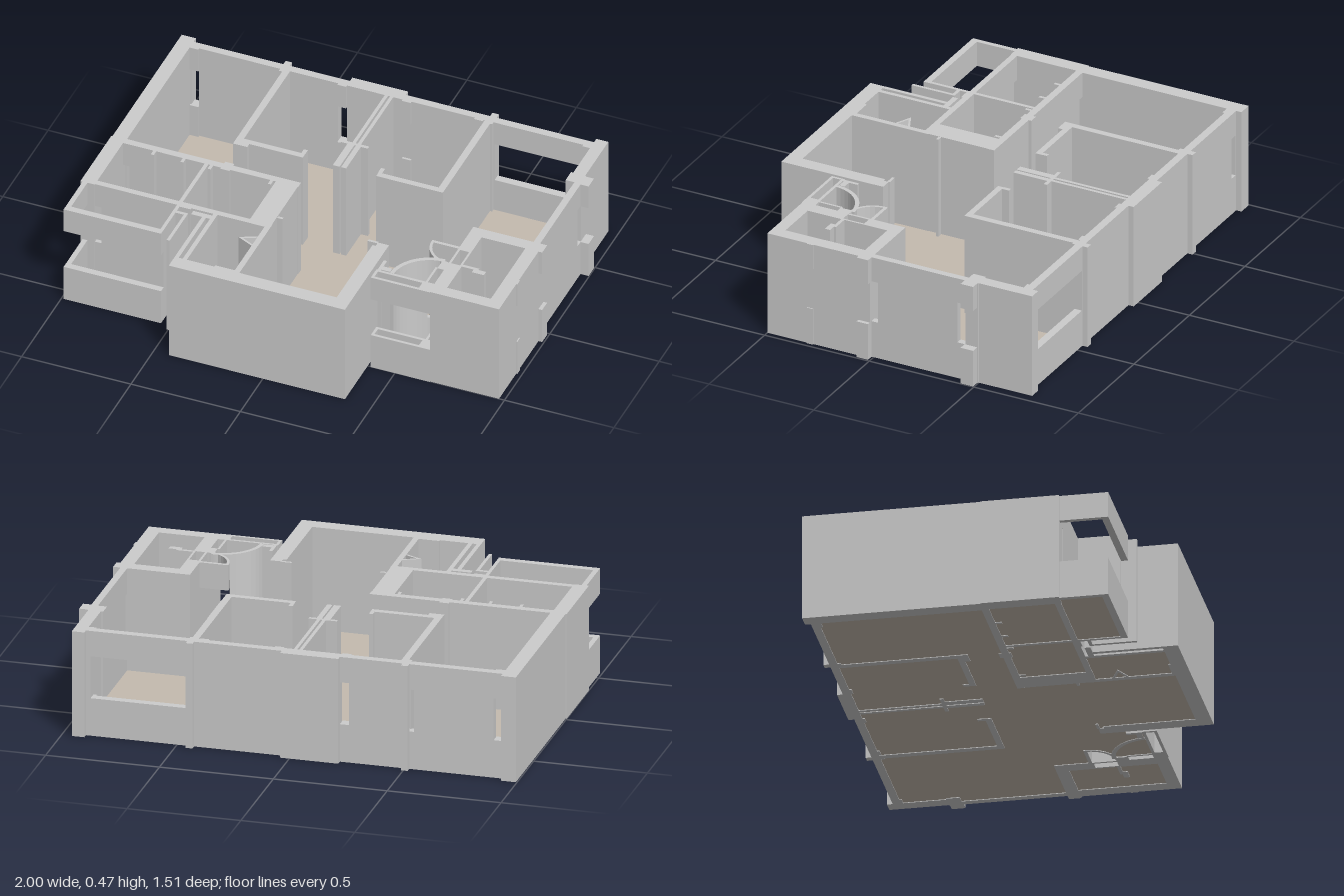
import * as THREE from 'three';

const H = 0.475;      // wall height
const SILL = 0.17;    // bottom of openings
const HEAD = 0.36;    // top of openings

export function createModel() {
  const model = new THREE.Group();
  model.name = 'floorPlan';
  const grey = new THREE.MeshStandardMaterial({ color: 0xcccccc, flatShading: true });
  const tan = new THREE.MeshStandardMaterial({ color: 0xc4baae, flatShading: true });

  const add = (name, geometry, material = grey) => {
    const mesh = new THREE.Mesh(geometry, material);
    mesh.name = name;
    model.add(mesh);
    return mesh;
  };
  // Upright block from plan limits
  const wall = (name, x0, x1, z0, z1, y0 = 0, y1 = H, material = grey) =>
    add(name, new THREE.BoxGeometry(x1 - x0, y1 - y0, z1 - z0), material)
      .position.set((x0 + x1) / 2, (y0 + y1) / 2, (z0 + z1) / 2);
  // Sill and lintel with an open band between
  const opening = (name, x0, x1, z0, z1) => {
    wall(name + 'Sill', x0, x1, z0, z1, 0, SILL);
    wall(name + 'Lintel', x0, x1, z0, z1, HEAD, H);
  };
  // Wall along x or z, broken by openings given as [start, end]
  const brokenWall = (name, axis, a, b, c0, c1, gaps) => {
    const put = (fn, s, e) => {
      if (e - s > 0.001) axis === 'x' ? fn(name, s, e, c0, c1) : fn(name, c0, c1, s, e);
    };
    let at = a;
    for (const [s, e] of gaps) {
      put(wall, at, s);
      put(opening, s, e);
      at = e;
    }
    put(wall, at, b);
  };
  // Extruded plan outline; points are [x, z]
  const plan = (name, shape, y0, y1, material = grey) => {
    const geo = new THREE.ExtrudeGeometry(shape, { depth: y1 - y0, bevelEnabled: false, curveSegments: 12 });
    geo.rotateX(-Math.PI / 2);
    return add(name, geo, material).position.set(0, y0, 0);
  };
  const outline = (pts) => new THREE.Shape(pts.map(([x, z]) => new THREE.Vector2(x, -z)));
  // Thin curved wall between two angles (radians in plan, z downwards)
  const arcWall = (name, cx, cz, r, t, a0, a1, y0 = 0, y1 = H) => {
    const pts = [];
    for (let i = 0; i <= 8; i++) {
      const a = a0 + (a1 - a0) * i / 8;
      pts.push([cx + Math.cos(a) * r, cz + Math.sin(a) * r]);
    }
    for (let i = 8; i >= 0; i--) {
      const a = a0 + (a1 - a0) * i / 8;
      pts.push([cx + Math.cos(a) * (r - t), cz + Math.sin(a) * (r - t)]);
    }
    plan(name, outline(pts), y0, y1);
  };

  // Main floor, running through hall and living room to the kitchen
  const F0 = 0.003, F1 = 0.012;
  const mainFloor = outline([[-0.94, -0.71], [0.91, -0.71], [0.94, -0.44], [0.94, 0.02], [0.66, 0.02],
    [0.66, 0.17], [0.54, 0.17], [0.56, 0.23], [0.6, 0.27], [0.62, 0.28], [0.62, 0.44], [0.41, 0.44],
    [0.41, 0.37], [0.38, 0.37], [0.38, 0.28], [0.32, 0.28], [0.32, 0.7], [-0.14, 0.7], [-0.14, 0.02], [-0.94, 0.02]]);
  plan('mainFloor', mainFloor, F0, F1, tan);
  for (const [name, x0, x1, z0, z1] of [
    ['bedroomFloor', -0.94, -0.555, 0.03, 0.325],
    ['studyFloor', -0.55, -0.23, 0.03, 0.325],
    ['balconyFloor', -0.975, -0.555, 0.34, 0.535],
    ['bathroomFloor', -0.38, -0.155, 0.34, 0.695],
    ['utilityFloor', 0.71, 0.925, 0.06, 0.455],
  ]) wall(name, x0, x1, z0, z1, F0, F1, tan);

  // Outer walls
  wall('leftOuterWall', -0.995, -0.93, -0.755, 0.01);
  wall('leftLowerWall', -1, -0.935, 0.01, 0.35);
  brokenWall('backWall', 'x', -0.93, 0.9, -0.73, -0.695,
    [[-0.925, -0.89], [-0.54, -0.505], [-0.255, -0.215], [0.46, 0.88]]);
  wall('backPier', -0.215, 0.04, -0.755, -0.695);
  for (const x of [-0.505, 0.44]) {
    wall('backPilaster', x - 0.015, x + 0.015, -0.755, -0.73);
    wall('backPilasterInner', x - 0.015, x + 0.015, -0.7, -0.68);
  }
  wall('backCornerPier', 0.9, 0.955, -0.755, -0.49);
  brokenWall('rightOuterWall', 'z', -0.44, 0.01, 0.93, 0.96, [[-0.44, -0.4], [-0.02, 0.01]]);
  wall('rightPilaster', 0.89, 0.96, -0.5, -0.44);
  opening('rightPilasterCap', 0.96, 0.997, -0.495, -0.435);
  // Small mullion stubs beside the back windows
  for (const x of [-0.91, -0.235, 0.06, 0.39, 0.885])
    opening('windowStub', x - 0.02, x + 0.02, -0.7, -0.685);

  // Utility room at the right front
  wall('utilityBackWall', 0.655, 0.975, 0.01, 0.065);
  opening('utilityCornerCap', 0.975, 0.992, 0.01, 0.065);
  wall('utilityRightWall', 0.915, 0.975, 0.065, 0.5);
  wall('utilityFrontWall', 0.66, 0.975, 0.445, 0.5);
  wall('utilityLeftWallRear', 0.655, 0.715, 0.065, 0.18);
  wall('utilityLeftWallFront', 0.66, 0.715, 0.28, 0.445);
  wall('shaftSide', 0.655, 0.665, 0.18, 0.28);
  wall('shaftSide', 0.706, 0.715, 0.18, 0.28);
  wall('utilityPartition', 0.715, 0.79, 0.27, 0.285);
  wall('utilityPartitionEnd', 0.77, 0.825, 0.28, 0.305);
  opening('utilityRightCap', 0.975, 0.98, 0.28, 0.31);

  // Kitchen bay with its hollow window wall and curved screens
  opening('bayWindowOuter', 0.39, 0.66, 0.49, 0.503);
  opening('bayWindowInner', 0.39, 0.66, 0.44, 0.453);
  opening('bayWindowEnd', 0.39, 0.402, 0.453, 0.49);
  opening('bayWindowEnd', 0.605, 0.66, 0.453, 0.49);
  opening('bayBoxSide', 0.615, 0.625, 0.33, 0.44);
  opening('bayBoxSide', 0.655, 0.663, 0.28, 0.44);
  opening('bayBoxEnd', 0.625, 0.655, 0.28, 0.335);
  wall('bayPost', 0.395, 0.41, 0.37, 0.44);
  wall('bayPost', 0.41, 0.45, 0.41, 0.435);
  arcWall('curvedScreen', 0.635, 0.45, 0.185, 0.018, Math.PI * 1.02, Math.PI * 1.36);
  for (const [y0, y1] of [[0, SILL], [HEAD, H]]) {
    arcWall('curvedScreenEnd', 0.635, 0.45, 0.185, 0.018, Math.PI * 1.36, Math.PI * 1.5, y0, y1);
    arcWall('smallCurvedScreen', 0.65, 0.17, 0.12, 0.012, Math.PI / 2, Math.PI, y0, y1);
  }
  opening('smallScreenTop', 0.53, 0.655, 0.16, 0.175);

  // Living room at the front
  wall('frontWall', -0.43, 0.375, 0.685, 0.752);
  wall('livingRightWall', 0.31, 0.375, 0.29, 0.685);
  wall('livingRightPost', 0.325, 0.375, 0.265, 0.29);
  wall('livingRightStub', 0.28, 0.325, 0.26, 0.272);
  wall('livingLeftWall', -0.16, -0.135, 0.34, 0.69);
  wall('livingLeftStub', -0.135, -0.11, 0.258, 0.27);
  plan('wallNiche', outline([[-0.235, 0.455], [-0.16, 0.42], [-0.16, 0.43], [-0.212, 0.455],
    [-0.16, 0.48], [-0.16, 0.49]]), 0, H);

  // Back bedrooms, divided by thin partitions
  wall('leftPartition', -0.505, -0.475, -0.695, -0.16);
  wall('leftPartitionFoot', -0.505, -0.44, -0.165, -0.138);
  wall('leftRoomFront', -0.48, -0.195, -0.187, -0.16);
  wall('leftDoorPost', -0.213, -0.195, -0.215, -0.187);
  wall('middlePartition', -0.042, -0.027, -0.695, -0.335);
  wall('middlePartition', -0.018, -0.003, -0.695, -0.335);
  wall('middleCross', -0.09, 0.035, -0.338, -0.322);
  wall('middleColumn', -0.058, -0.027, -0.322, -0.16);
  wall('middleColumn', -0.02, 0.003, -0.322, -0.16);
  wall('rightPartition', 0.415, 0.445, -0.695, -0.16);
  wall('rightRoomFront', 0.14, 0.445, -0.187, -0.16);
  wall('rightDoorPost', 0.138, 0.156, -0.22, -0.187);

  // Left rooms
  brokenWall('leftRoomsBack', 'x', -0.935, -0.135, 0.005, 0.037, [[-0.935, -0.905]]);
  brokenWall('leftRoomsFront', 'x', -0.935, -0.135, 0.32, 0.347, [[-0.935, -0.905]]);
  wall('leftRoomsDivider', -0.562, -0.545, 0.037, 0.32);
  wall('leftRoomsEnd', -0.237, -0.137, 0.01, 0.34);
  wall('leftRoomsPost', -0.487, -0.445, -0.008, 0.045);
  for (const x of [-0.79, -0.655, -0.53, -0.255])
    wall('doorStub', x - 0.007, x + 0.007, 0.037, 0.065);

  // Balcony bands, open all round at mid height
  opening('balconyFront', -0.99, -0.545, 0.53, 0.56);
  opening('balconySide', -0.99, -0.968, 0.345, 0.53);
  wall('balconyRightWall', -0.56, -0.545, 0.345, 0.53);

  // Service shaft between balcony and bathroom
  wall('shaftWall', -0.507, -0.493, 0.385, 0.59);
  wall('shaftPost', -0.545, -0.495, 0.345, 0.355);
  wall('shaftPost', -0.545, -0.495, 0.385, 0.4);
  wall('bathroomOuterWall', -0.43, -0.412, 0.38, 0.685);
  wall('bathroomInnerWall', -0.394, -0.375, 0.345, 0.685);
  wall('bathroomWallTop', -0.48, -0.39, 0.36, 0.385);
  wall('bathroomStub', -0.25, -0.16, 0.675, 0.685);

  return model;
}
